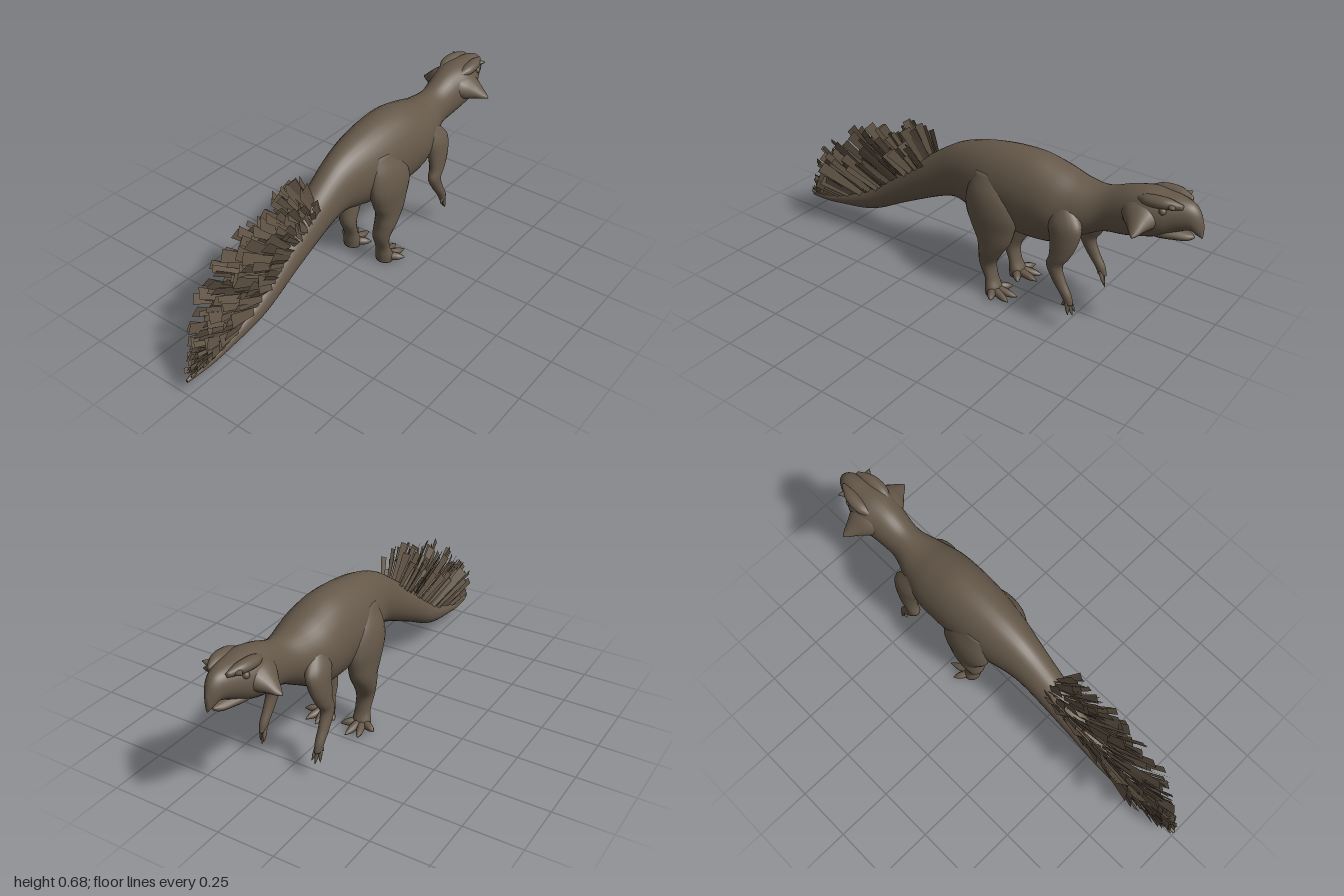
import * as THREE from 'three';
import { mergeGeometries } from 'three/addons/utils/BufferGeometryUtils.js';

const V = (x, y, z) => new THREE.Vector3(x, y, z);
const X = V(1, 0, 0), Y = V(0, 1, 0), Z = V(0, 0, 1);

// Smooth closed loft through elliptical sections [x, y, z, radiusU, radiusV]
function loft(sections, u, v, rings = 24, sides = 16) {
  const centre = new THREE.CatmullRomCurve3(sections.map(s => V(s[0], s[1], s[2])), false, 'catmullrom', 0.5);
  const radii = new THREE.CatmullRomCurve3(sections.map(s => V(s[3], s[4], 0)), false, 'catmullrom', 0.5);
  const along = centre.getPoint(1).sub(centre.getPoint(0));
  const w = v.clone();
  if (along.dot(u.clone().cross(v)) < 0) w.negate();
  const pos = [], idx = [];
  for (let i = 0; i <= rings; i++) {
    const c = centre.getPoint(i / rings), r = radii.getPoint(i / rings);
    for (let j = 0; j < sides; j++) {
      const a = j / sides * Math.PI * 2;
      const p = c.clone().addScaledVector(u, r.x * Math.cos(a)).addScaledVector(w, r.y * Math.sin(a));
      pos.push(p.x, p.y, p.z);
    }
  }
  for (let i = 0; i < rings; i++) for (let j = 0; j < sides; j++) {
    const k = (j + 1) % sides, a = i * sides + j, b = i * sides + k;
    idx.push(a, b, b + sides, a, b + sides, a + sides);
  }
  const n = (rings + 1) * sides, last = rings * sides;
  const s = centre.getPoint(0), e = centre.getPoint(1);
  pos.push(s.x, s.y, s.z, e.x, e.y, e.z);
  for (let j = 0; j < sides; j++) {
    const k = (j + 1) % sides;
    idx.push(n, k, j, n + 1, last + j, last + k);
  }
  const g = new THREE.BufferGeometry();
  g.setAttribute('position', new THREE.Float32BufferAttribute(pos, 3));
  g.setIndex(idx);
  g.computeVertexNormals();
  return g;
}

// Tapered toe or finger from a to b, bulging slightly before the claw
function digit(a, b, r) {
  const d = b.clone().sub(a).normalize();
  const u = d.clone().cross(Math.abs(d.y) > 0.7 ? Z : Y).normalize();
  const v = u.clone().cross(d);
  const at = (t, k) => [...a.clone().lerp(b, t).toArray(), r * k, r * k];
  return loft([at(0, 1), at(0.35, 0.95), at(0.65, 0.8), at(0.85, 0.45), at(1, 0.08)], u, v, 10, 8);
}

// Trunk from tail tip to beak: [z, top, bottom, half width]
const TRUNK = [
  [1.0, 0.085, 0.07, 0.006], [0.9, 0.115, 0.075, 0.022], [0.8, 0.15, 0.09, 0.033], [0.6, 0.25, 0.13, 0.05],
  [0.4, 0.405, 0.23, 0.062], [0.2, 0.55, 0.325, 0.075], [0.1, 0.61, 0.352, 0.088], [0, 0.645, 0.33, 0.11],
  [-0.1, 0.665, 0.305, 0.128], [-0.2, 0.675, 0.3, 0.137], [-0.3, 0.673, 0.3, 0.14], [-0.4, 0.65, 0.318, 0.137],
  [-0.5, 0.624, 0.375, 0.11], [-0.6, 0.625, 0.43, 0.076], [-0.7, 0.662, 0.45, 0.084], [-0.78, 0.678, 0.475, 0.1],
  [-0.85, 0.676, 0.5, 0.086], [-0.9, 0.674, 0.53, 0.064], [-0.95, 0.662, 0.552, 0.042], [-0.98, 0.635, 0.54, 0.026],
  [-1.0, 0.59, 0.53, 0.008],
];

function trunkAt(z) {
  const i = Math.max(1, TRUNK.findIndex(s => s[0] <= z)), a = TRUNK[i - 1], b = TRUNK[i];
  return a.map((n, k) => n + (b[k] - n) * (a[0] - z) / (a[0] - b[0]));
}

export function createModel() {
  const model = new THREE.Group();
  const skin = new THREE.MeshStandardMaterial({ color: 0x66594a });
  skin.name = 'brown skin';
  const quill = new THREE.MeshStandardMaterial({ color: 0x625546, side: THREE.DoubleSide });
  quill.name = 'brown quill';
  const add = (name, geometry, parent = model, material = skin) => {
    const m = new THREE.Mesh(geometry, material);
    m.name = name;
    parent.add(m);
    return m;
  };

  add('body', loft(TRUNK.map(([z, t, b, w]) => [0, (t + b) / 2, z, w, (t - b) / 2]), X, Y, 120, 32));
  add('lowerJaw', loft([
    [0, 0.53, -0.76, 0.05, 0.04], [0, 0.525, -0.84, 0.06, 0.033], [0, 0.523, -0.9, 0.044, 0.024],
    [0, 0.522, -0.945, 0.026, 0.016], [0, 0.525, -0.968, 0.006, 0.006]], X, Y));

  for (const s of [1, -1]) {
    const side = s > 0 ? 'left' : 'right';

    // Head details
    add(side + 'CheekHorn', loft([
      [s * 0.05, 0.59, -0.775, 0.09, 0.06], [s * 0.09, 0.582, -0.78, 0.068, 0.048],
      [s * 0.125, 0.57, -0.79, 0.04, 0.03], [s * 0.155, 0.557, -0.798, 0.02, 0.014],
      [s * 0.174, 0.55, -0.802, 0.004, 0.004]], Z, Y));
    add(side + 'BrowRidge', loft([
      [s * 0.05, 0.645, -0.75, 0.01, 0.01], [s * 0.056, 0.653, -0.8, 0.027, 0.022],
      [s * 0.053, 0.658, -0.87, 0.026, 0.022], [s * 0.04, 0.655, -0.93, 0.008, 0.01]], X, Y));
    add(side + 'BrowHorn', loft([
      [s * 0.04, 0.65, -0.88, 0.03, 0.018], [s * 0.065, 0.655, -0.893, 0.018, 0.012],
      [s * 0.086, 0.66, -0.905, 0.003, 0.003]], Z, Y, 10, 10));
    const eye = add(side + 'Eye', new THREE.SphereGeometry(0.014, 16, 12));
    eye.position.set(s * 0.07, 0.632, -0.865);

    // Hind leg with four splayed toes
    const leg = new THREE.Group();
    leg.name = side + 'HindLeg';
    model.add(leg);
    add('leg', loft([
      [s * 0.085, 0.57, -0.1, 0.03, 0.06], [s * 0.1, 0.49, -0.125, 0.053, 0.11], [s * 0.109, 0.41, -0.135, 0.056, 0.125],
      [s * 0.108, 0.33, -0.14, 0.052, 0.102], [s * 0.105, 0.27, -0.143, 0.05, 0.077], [s * 0.1, 0.21, -0.125, 0.048, 0.054],
      [s * 0.091, 0.145, -0.107, 0.04, 0.036], [s * 0.088, 0.08, -0.122, 0.035, 0.026],
      [s * 0.09, 0.035, -0.133, 0.041, 0.034], [s * 0.09, 0.002, -0.135, 0.04, 0.034]], X, Z, 48, 20), leg);
    for (const [x, y, z] of [[0.172, 0.022, -0.175], [0.13, 0.012, -0.235], [0.075, 0.012, -0.245], [0.017, 0.016, -0.185]])
      add('toe', digit(V(s * (0.09 + (x - 0.09) * 0.2), 0.024, -0.138), V(s * x, y, z), 0.019), leg);

    // Arm with four fingers
    const arm = new THREE.Group();
    arm.name = side + 'Arm';
    model.add(arm);
    add('arm', loft([
      [s * 0.085, 0.54, -0.45, 0.025, 0.045], [s * 0.108, 0.47, -0.48, 0.038, 0.075], [s * 0.12, 0.4, -0.487, 0.036, 0.063],
      [s * 0.128, 0.33, -0.475, 0.03, 0.045], [s * 0.13, 0.28, -0.455, 0.026, 0.036], [s * 0.132, 0.22, -0.48, 0.022, 0.03],
      [s * 0.133, 0.165, -0.515, 0.019, 0.024], [s * 0.133, 0.125, -0.53, 0.013, 0.019]], X, Z, 40, 16), arm);
    for (const [x, y, z] of [[0.116, 0.088, -0.55], [0.128, 0.073, -0.547], [0.145, 0.08, -0.535], [0.142, 0.115, -0.503]])
      add('finger', digit(V(s * (0.133 + (x - 0.133) * 0.5), 0.145, -0.523), V(s * x, y, z), 0.009), arm);
  }

  // Tail quills: flat tapered blades fanned along the top of the tail
  let seed = 7;
  const rand = () => (seed = (seed * 16807) % 2147483647) / 2147483647;
  const reach = new THREE.CatmullRomCurve3([ // (root z, longest blade, elevation in degrees)
    V(0.25, 0.18, 62), V(0.38, 0.24, 46), V(0.5, 0.32, 39), V(0.65, 0.31, 33), V(0.8, 0.18, 25), V(0.96, 0.05, 18)]);
  const blades = [], rows = 44;
  for (let i = 0; i < rows; i++) for (let j = -2; j <= 2; j++) {
    const { x: z, y: longest, z: elevation } = reach.getPoint((i + rand() * 0.8) / rows);
    const [, top, bottom, halfWidth] = trunkAt(z);
    const lat = Math.max(-1, Math.min(1, j / 2 + (rand() - 0.5) * 0.4));
    const e = THREE.MathUtils.degToRad(elevation + (rand() - 0.6) * 12);
    const d = V(lat * 0.27 + (rand() - 0.5) * 0.06, Math.sin(e), Math.cos(e)).normalize();
    const length = Math.min(longest * (0.55 + 0.45 * rand()) * (1 - 0.2 * Math.abs(lat)), (0.995 - z) / d.z);
    const width = Math.min(0.02 + 0.035 * rand(), length * 0.4);
    const g = new THREE.PlaneGeometry(width, length).translate(0, length / 2, 0);
    const p = g.attributes.position;
    for (let k = 0; k < p.count; k++) if (p.getY(k) < length / 2) p.setX(k, p.getX(k) * 0.5);
    const across = d.clone().cross(X).normalize().applyAxisAngle(d, (rand() - 0.5) * 1.3);
    const root = V(halfWidth * 0.8 * Math.sin(lat), (top + bottom) / 2 + (top - bottom) * 0.42 * Math.cos(lat), z);
    g.applyMatrix4(new THREE.Matrix4().makeBasis(across, d, across.clone().cross(d)).setPosition(root));
    blades.push(g);
  }
  add('tailQuills', mergeGeometries(blades), model, quill);
  return model;
}
